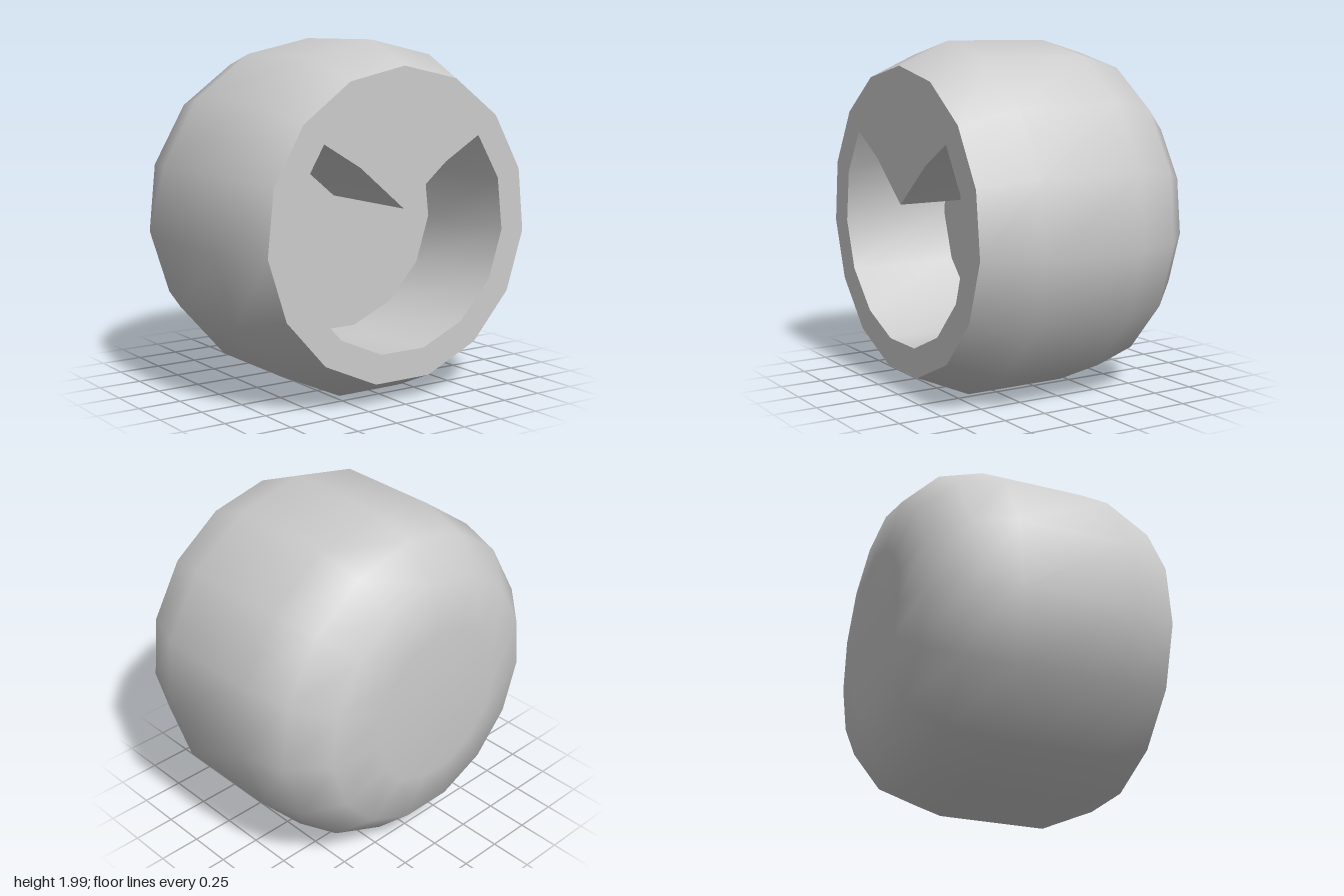
import * as THREE from 'three';
import { toCreasedNormals } from 'three/addons/utils/BufferGeometryUtils.js';

const SIDES = 15, CENTRE_Y = 0.985, FRONT_Z = 0.72, FLOOR_Z = 0.05, RIM_R = 0.87;

// Right half of the recess outline, from the notch round to the bottom
const half = [
  [0, 1.085], [0.29, 1.325], [0.52, 1.46], [0.67, 1.21],
  [0.705, 0.91], [0.615, 0.63], [0.41, 0.41], [0.145, 0.295],
];

function recessOutline() {
  const right = half.map(([x, y]) => new THREE.Vector2(x, y));
  const left = half.slice(1).reverse().map(([x, y]) => new THREE.Vector2(-x, y));
  return [...right, ...left]; // clockwise seen from the front
}

function createWalls(outline) {
  const positions = [];
  outline.forEach((a, i) => {
    const b = outline[(i + 1) % outline.length];
    positions.push(
      a.x, a.y, FRONT_Z, b.x, b.y, FLOOR_Z, b.x, b.y, FRONT_Z,
      a.x, a.y, FRONT_Z, a.x, a.y, FLOOR_Z, b.x, b.y, FLOOR_Z);
  });
  const g = new THREE.BufferGeometry();
  g.setAttribute('position', new THREE.Float32BufferAttribute(positions, 3));
  return toCreasedNormals(g, 0.65);
}

export function createModel() {
  const group = new THREE.Group();
  const material = new THREE.MeshStandardMaterial({ color: 0xcccccc, side: THREE.DoubleSide });
  const add = (name, geometry) => {
    const mesh = new THREE.Mesh(geometry, material);
    mesh.name = name;
    group.add(mesh);
    return mesh;
  };

  // Rounded outer shell, turned about the front-to-back axis
  const profile = [
    [0, -0.725], [0.458, -0.725], [0.745, -0.67], [0.93, -0.48],
    [1.005, -0.22], [1.005, 0.41], [RIM_R, FRONT_Z],
  ].map(([r, z]) => new THREE.Vector2(r, z));
  const shell = new THREE.LatheGeometry(profile, SIDES, Math.PI).rotateX(Math.PI / 2);
  add('shell', shell).position.y = CENTRE_Y;

  // Flat front with the notched opening
  const outline = recessOutline();
  const front = new THREE.Shape();
  for (let i = 0; i < SIDES; i++) {
    const a = Math.PI / 2 + (i / SIDES) * Math.PI * 2;
    const x = RIM_R * Math.cos(a), y = CENTRE_Y + RIM_R * Math.sin(a);
    if (i === 0) front.moveTo(x, y);
    else front.lineTo(x, y);
  }
  front.closePath();
  front.holes.push(new THREE.Path(outline));
  add('frontFace', new THREE.ShapeGeometry(front)).position.z = FRONT_Z;

  // Recess walls and floor
  add('recessWalls', createWalls(outline));
  add('recessFloor', new THREE.ShapeGeometry(new THREE.Shape(outline))).position.z = FLOOR_Z;

  return group;
}
